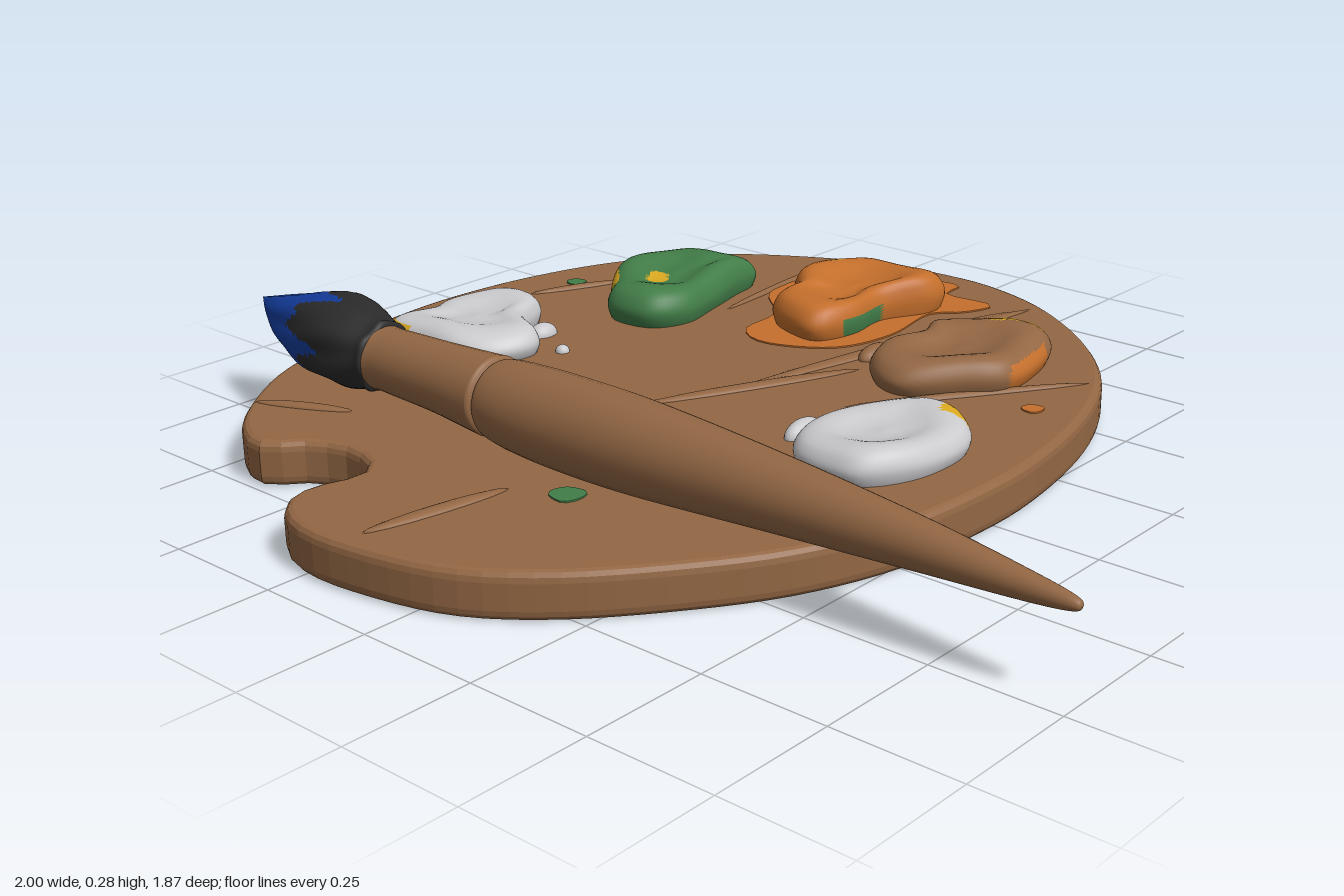
import * as THREE from 'three';

const TOP = 0.09;
const mat = (name, color) => Object.assign(new THREE.MeshStandardMaterial({ color }), { name });
const V = (x, y, z) => new THREE.Vector3(x, y, z);

// Closed smooth outline through [x, z] points, ordered from +x towards +z
function outline(pts, n) {
  const curve = new THREE.CatmullRomCurve3(pts.map(([x, z]) => V(x, 0, z)), true, 'catmullrom', 0.5);
  const out = curve.getSpacedPoints(n).slice(0, n);
  const area = out.reduce((s, p, i) => { const q = out[(i + 1) % n]; return s + p.x * q.z - q.x * p.z; }, 0);
  return area < 0 ? out.reverse() : out;
}

// Skin over closed rings; pick(faceCentre) chooses a material index
function loft(rings, materials, pick = () => 0) {
  const n = rings[0].length, verts = rings.flat();
  const faces = materials.map(() => []);
  const add = (a, b, c) => {
    const m = V(0, 0, 0).add(verts[a]).add(verts[b]).add(verts[c]).divideScalar(3);
    faces[pick(m)].push(a, b, c);
  };
  for (let i = 0; i < rings.length - 1; i++) {
    for (let j = 0; j < n; j++) {
      const a = i * n + j, b = i * n + (j + 1) % n;
      add(a, a + n, b);
      add(b, a + n, b + n);
    }
  }
  const geo = new THREE.BufferGeometry().setFromPoints(verts);
  geo.setIndex(faces.flat());
  let start = 0;
  faces.forEach((f, i) => { geo.addGroup(start, f.length, i); start += f.length; });
  geo.computeVertexNormals();
  return new THREE.Mesh(geo, materials);
}

// Round rings along x from stations [x, y, z, radius]
function roundRings(stations, steps, n, wobble = () => 1) {
  const path = new THREE.CatmullRomCurve3(stations.map(s => V(s[0], s[1], s[2])), false, 'catmullrom', 0.5);
  const size = new THREE.CatmullRomCurve3(stations.map(s => V(s[3], 0, 0)), false, 'catmullrom', 0.5);
  return Array.from({ length: steps + 1 }, (_, i) => {
    const c = path.getPoint(i / steps), r = Math.max(0, size.getPoint(i / steps).x);
    return Array.from({ length: n }, (_, j) => {
      const a = j / n * Math.PI * 2, k = r * wobble(a, c.x);
      return V(c.x, c.y + k * Math.cos(a), c.z - k * Math.sin(a));
    });
  });
}

export function createModel() {
  const group = new THREE.Group();
  const wood = mat('wood brown', 0x936744), orange = mat('orange paint', 0xc46f2c);
  const green = mat('green paint', 0x427d48), white = mat('white paint', 0xcacacd);
  const yellow = mat('yellow paint', 0xdcaa20), blue = mat('blue paint', 0x143c9c);
  const black = mat('black bristle', 0x2a2a2a);
  const add = (name, mesh) => { mesh.name = name; group.add(mesh); return mesh; };
  const flat = pts => pts.map(p => new THREE.Vector2(p.x, -p.z));

  // Palette board with thumb hole and finger notch
  const board = new THREE.Shape(flat(outline([
    [-0.25, -0.935], [-0.12, -0.93], [0.04, -0.88], [0.2, -0.78], [0.33, -0.66], [0.42, -0.53], [0.49, -0.35],
    [0.53, -0.15], [0.54, 0.02], [0.52, 0.25], [0.45, 0.45], [0.34, 0.62], [0.2, 0.78], [0.05, 0.88],
    [-0.15, 0.925], [-0.28, 0.92], [-0.36, 0.87], [-0.38, 0.8], [-0.36, 0.72], [-0.38, 0.67], [-0.46, 0.645],
    [-0.54, 0.67], [-0.6, 0.73], [-0.66, 0.73], [-0.76, 0.66], [-0.88, 0.5], [-0.95, 0.32], [-0.99, 0.1],
    [-1, -0.08], [-0.98, -0.27], [-0.93, -0.45], [-0.85, -0.6], [-0.72, -0.75], [-0.52, -0.87], [-0.38, -0.92],
  ], 130)));
  board.holes.push(new THREE.Path(flat(outline([
    [-0.5, 0.24], [-0.46, 0.18], [-0.38, 0.15], [-0.32, 0.15], [-0.28, 0.19], [-0.23, 0.21],
    [-0.24, 0.3], [-0.26, 0.37], [-0.33, 0.385], [-0.42, 0.38], [-0.48, 0.33],
  ], 40))));
  const boardGeo = new THREE.ExtrudeGeometry(board, {
    depth: TOP - 0.04, bevelThickness: 0.02, bevelSize: 0.015, bevelOffset: -0.015, bevelSegments: 3,
  });
  boardGeo.rotateX(-Math.PI / 2).translate(0, 0.02, 0);
  add('paletteBoard', new THREE.Mesh(boardGeo, wood));

  // Raised wood grain: [x0, z0, x1, z1, half width]
  [[0.05, -0.85, -0.12, -0.05, 0.02], [0.0, -0.3, -0.21, 0.15, 0.018], [0.03, -0.8, -0.06, -0.45, 0.012],
    [-0.15, 0.88, -0.1, 0.58, 0.018], [-0.87, -0.2, -0.77, -0.42, 0.012], [-0.79, 0.61, -0.6, 0.52, 0.015],
    [0.4, -0.53, 0.1, -0.1, 0.012], [0.46, 0.34, 0.15, 0.15, 0.015], [-0.5, -0.84, -0.46, -0.4, 0.01],
  ].forEach(([x0, z0, x1, z1, w]) => {
    const grain = add('woodGrain', new THREE.Mesh(new THREE.SphereGeometry(1, 16, 8), wood));
    grain.scale.set(Math.hypot(x1 - x0, z1 - z0) / 2, 0.009, w);
    grain.position.set((x0 + x1) / 2, TOP - 0.001, (z0 + z1) / 2);
    grain.rotation.y = -Math.atan2(z1 - z0, x1 - x0);
  });

  // Thick paint dabs: patches are [x, z, radius, material, highest y]
  const profile = [[0.96, 0], [1, 0.2], [1.02, 0.45], [0.98, 0.7], [0.9, 0.9], [0.77, 1], [0.6, 0.97],
    [0.42, 0.85], [0.24, 0.78], [0.1, 0.78], [0, 0.79]];
  const section = new THREE.CatmullRomCurve3(profile.map(([s, h]) => V(s, h, 0)));
  function dab(name, pts, height, main, patches = []) {
    const rim = outline(pts, 72), c = V(0, 0, 0);
    rim.forEach(p => c.addScaledVector(p, 1 / rim.length));
    const rings = section.getSpacedPoints(24).map(({ x: s, y: h }) => rim.map(p => {
      const x = c.x + (p.x - c.x) * s, z = c.z + (p.z - c.z) * s;
      const lump = 0.9 + 0.1 * Math.sin(17 * x + 9 * z) * Math.cos(15 * z - 6 * x);
      return V(x, TOP - 0.003 + h * height * lump, z);
    }));
    add(name, loft(rings, [main, ...patches.map(p => p[3])], m =>
      1 + patches.findIndex(([x, z, r, , top]) => {
        const ragged = r * (1 + 0.1 * Math.sin(60 * m.x) + 0.1 * Math.sin(70 * m.z));
        return m.y < top && Math.hypot(m.x - x, m.z - z) < ragged;
      })));
  }
  dab('greenDab', [[-0.6, -0.57], [-0.53, -0.58], [-0.51, -0.5], [-0.48, -0.38], [-0.46, -0.28], [-0.5, -0.2],
    [-0.6, -0.19], [-0.66, -0.25], [-0.74, -0.35], [-0.76, -0.45], [-0.72, -0.55], [-0.66, -0.57]], 0.085, green,
  [[-0.78, -0.5, 0.12, orange, 0.145], [-0.74, -0.3, 0.15, yellow, 0.15]]);
  dab('orangeDab', [[-0.3, -0.77], [-0.2, -0.77], [-0.12, -0.74], [-0.1, -0.67], [-0.15, -0.56], [-0.14, -0.45],
    [-0.17, -0.36], [-0.24, -0.36], [-0.32, -0.4], [-0.33, -0.48], [-0.38, -0.55], [-0.39, -0.65], [-0.35, -0.74]],
  0.09, orange, [[-0.41, -0.64, 0.08, yellow, 0.17], [-0.1, -0.5, 0.09, green, 0.13]]);
  dab('brownDab', [[0.02, -0.52], [0.1, -0.6], [0.17, -0.63], [0.25, -0.6], [0.29, -0.5], [0.3, -0.38],
    [0.24, -0.3], [0.15, -0.22], [0.06, -0.25], [0.01, -0.35], [0.04, -0.44]], 0.075, wood,
  [[0.13, -0.7, 0.14, yellow, 0.2], [0.35, -0.47, 0.12, orange, 0.14]]);
  dab('rightWhiteDab', [[-0.82, -0.09], [-0.72, -0.09], [-0.67, 0], [-0.57, 0.06], [-0.58, 0.15], [-0.65, 0.21],
    [-0.75, 0.22], [-0.86, 0.21], [-0.86, 0.1], [-0.88, 0.02]], 0.07, white,
  [[-0.91, 0.18, 0.12, yellow, 0.14], [-0.91, -0.02, 0.09, green, 0.14]]);
  dab('leftWhiteDab', [[0.25, -0.12], [0.31, -0.15], [0.38, -0.12], [0.43, -0.05], [0.43, 0.08], [0.38, 0.18],
    [0.31, 0.2], [0.22, 0.18], [0.17, 0.1], [0.18, 0]], 0.07, white,
  [[0.38, -0.13, 0.05, yellow, 0.2], [0.29, -0.16, 0.05, blue, 0.13], [0.19, -0.04, 0.06, green, 0.12]]);

  // Small drops of paint: [x, z, half width, height, half length, material]
  [[0.13, 0.05, 0.024, 0.03, 0.05, white], [-0.65, -0.03, 0.025, 0.025, 0.035, white],
    [-0.54, 0.02, 0.015, 0.015, 0.015, white], [-0.03, -0.38, 0.025, 0.025, 0.05, wood],
    [-0.025, -0.42, 0.017, 0.024, 0.02, yellow],
  ].forEach(([x, z, w, h, l, m]) => {
    const drop = add('paintDrop', new THREE.Mesh(new THREE.SphereGeometry(1, 20, 12), m));
    drop.scale.set(w, h, l);
    drop.position.set(x, TOP, z);
  });

  // Flat stains on the board
  function stain(name, pts, m) {
    const geo = new THREE.ExtrudeGeometry(new THREE.Shape(flat(pts)), { depth: 0.004, bevelEnabled: false });
    add(name, new THREE.Mesh(geo.rotateX(-Math.PI / 2).translate(0, TOP - 0.001, 0), m));
  }
  stain('orangeSmear', outline([[-0.45, -0.77], [-0.3, -0.84], [-0.17, -0.87], [-0.15, -0.8], [-0.03, -0.8],
    [-0.05, -0.72], [-0.1, -0.66], [-0.08, -0.5], [-0.12, -0.36], [-0.25, -0.29], [-0.34, -0.33],
    [-0.36, -0.45], [-0.46, -0.55], [-0.47, -0.68]], 60), orange);
  [[-0.01, 0.24, 0.04, orange], [-0.13, 0.24, 0.03, orange], [0.39, -0.33, 0.02, orange],
    [-0.85, -0.33, 0.02, green], [0, 0.54, 0.03, green],
  ].forEach(([x, z, r, m]) => stain('paintSpot',
    outline([[x + r, z], [x + 0.5 * r, z + r], [x - r, z + 0.6 * r], [x - 0.8 * r, z - 0.7 * r], [x + 0.6 * r, z - r]], 16), m));

  // Brush handle with a groove behind the grip
  add('brushHandle', loft(roundRings([
    [-0.6, 0.182, 0.445, 0], [-0.595, 0.182, 0.445, 0.058], [-0.56, 0.182, 0.445, 0.063], [-0.42, 0.181, 0.444, 0.068],
    [-0.3, 0.178, 0.443, 0.076], [-0.28, 0.177, 0.442, 0.077], [-0.272, 0.176, 0.442, 0.068],
    [-0.262, 0.175, 0.441, 0.077], [-0.2, 0.173, 0.441, 0.084], [-0.08, 0.171, 0.44, 0.088], [0.1, 0.172, 0.442, 0.085],
    [0.4, 0.175, 0.448, 0.066], [0.7, 0.174, 0.455, 0.043], [0.9, 0.169, 0.46, 0.024], [0.985, 0.167, 0.462, 0.012],
    [1, 0.167, 0.462, 0]], 90, 32), [wood]));

  // Bristles: black base with a ragged blue painted tip
  const ragged = (a, x) => 1 + 0.03 * Math.sin(5 * a + 9 * x) + 0.03 * Math.sin(8 * a - 25 * x);
  add('brushBristles', loft(roundRings([
    [-0.985, 0.218, 0.43, 0], [-0.95, 0.205, 0.43, 0.022], [-0.88, 0.19, 0.43, 0.055], [-0.8, 0.187, 0.433, 0.078],
    [-0.72, 0.189, 0.435, 0.088], [-0.66, 0.187, 0.438, 0.084], [-0.61, 0.184, 0.442, 0.07],
    [-0.585, 0.183, 0.444, 0.064], [-0.583, 0.183, 0.444, 0]], 44, 48, ragged), [black, blue], m => {
    const a = Math.atan2(m.z - 0.435, m.y - 0.188);
    return m.x < -0.78 + 0.045 * Math.sin(4 * a + 1) + 0.03 * Math.sin(9 * a) ? 1 : 0;
  }));
  const tuft = add('bristleTuft', new THREE.Mesh(new THREE.SphereGeometry(1, 16, 10), black));
  tuft.scale.set(0.05, 0.03, 0.025);
  tuft.position.set(-0.8, 0.215, 0.352);

  return group;
}
